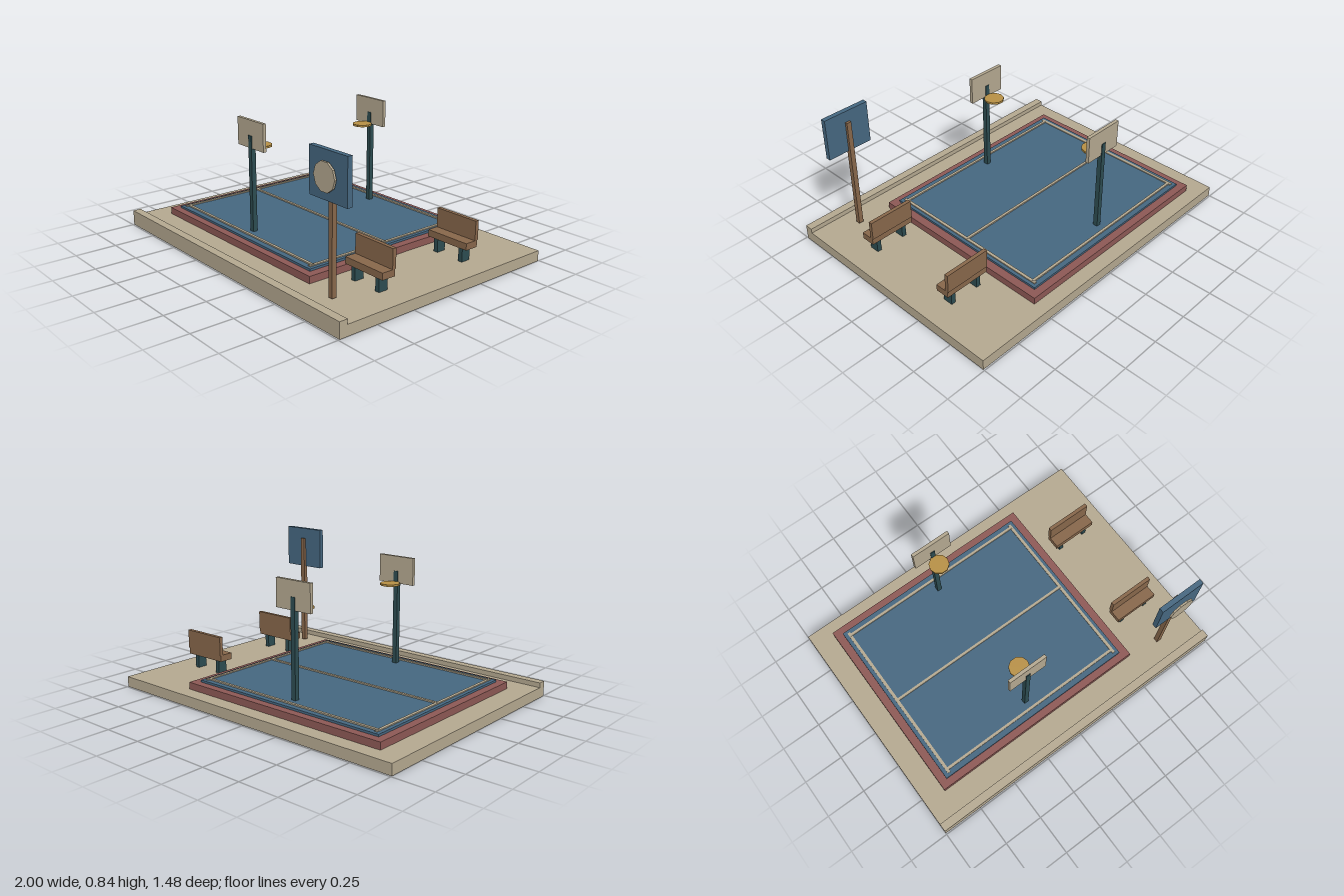
import * as THREE from 'three';

const material = (name, color) => {
  const m = new THREE.MeshStandardMaterial({ color });
  m.name = name;
  return m;
};

export function createModel() {
  const tan = material('tan concrete', 0xb3a78f);
  const red = material('brick red', 0x8c5854);
  const blue = material('court blue', 0x45667f);
  const teal = material('dark teal', 0x2c4b50);
  const brown = material('wood brown', 0x86664a);
  const gold = material('rim gold', 0xb68f45);

  const model = new THREE.Group();
  model.name = 'sportsCourt';

  const group = (name, z = 0) => {
    const g = new THREE.Group();
    g.name = name;
    g.position.z = z;
    model.add(g);
    return g;
  };

  // Box given by its extents along each axis
  const box = (parent, name, mat, [x0, x1], [y0, y1], [z0, z1]) => {
    const mesh = new THREE.Mesh(new THREE.BoxGeometry(x1 - x0, y1 - y0, z1 - z0), mat);
    mesh.name = name;
    mesh.position.set((x0 + x1) / 2, (y0 + y1) / 2, (z0 + z1) / 2);
    parent.add(mesh);
  };

  // Ten-sided disc with corners on the x axis
  const disc = (parent, name, mat, r, h, x, y, z, upright = false) => {
    const geo = new THREE.CylinderGeometry(r, r, h, 10).toNonIndexed();
    geo.computeVertexNormals();
    geo.rotateY(Math.PI / 2);
    if (upright) geo.rotateX(Math.PI / 2);
    const mesh = new THREE.Mesh(geo, mat);
    mesh.name = name;
    mesh.position.set(x, y, z);
    parent.add(mesh);
  };

  // Ground slab with a raised kerb along the front
  const ground = group('ground');
  box(ground, 'slab', tan, [-1, 1], [0, 0.064], [-0.742, 0.742]);
  box(ground, 'kerb', tan, [-1, 1], [0.064, 0.093], [0.692, 0.742]);

  // Stepped court
  const court = group('court');
  box(court, 'courtBorder', red, [-0.865, 0.532], [0.066, 0.108], [-0.656, 0.548]);
  box(court, 'courtSurface', blue, [-0.817, 0.482], [0.108, 0.121], [-0.61, 0.504]);
  for (const x of [-0.785, 0.452]) {
    box(court, 'sideLine', tan, [x - 0.009, x + 0.009], [0.12, 0.127], [-0.59, 0.485]);
  }
  for (const z of [-0.57, -0.056, 0.462]) {
    box(court, 'crossLine', tan, [-0.785, 0.452], [0.12, 0.129], [z - 0.008, z + 0.008]);
  }

  // Hoops, each facing the middle of the court
  for (const [z, dir] of [[0.402, -1], [-0.505, 1]]) {
    const hoop = group('hoop', z);
    box(hoop, 'hoopPole', teal, [-0.181, -0.152], [0.12, 0.695], [-0.0145, 0.0145]);
    box(hoop, 'backboard', tan, [-0.289, -0.043], [0.621, 0.785], [-0.01, 0.01]);
    disc(hoop, 'rim', gold, 0.06, 0.012, -0.167, 0.626, dir * 0.069);
  }

  // Benches beside the court
  for (const z of [0.31, -0.31]) {
    const bench = group('bench', z);
    box(bench, 'seat', brown, [0.589, 0.874], [0.147, 0.187], [-0.043, 0.043]);
    box(bench, 'backrest', brown, [0.589, 0.874], [0.187, 0.301], [-0.049, -0.026]);
    for (const x of [0.639, 0.823]) {
      box(bench, 'benchLeg', teal, [x - 0.014, x + 0.014], [0.062, 0.147], [-0.029, 0.031]);
    }
  }

  // Sign on a post with a round face in front
  const sign = group('sign');
  box(sign, 'signPost', brown, [0.726, 0.755], [0.072, 0.775], [0.553, 0.582]);
  box(sign, 'signBoard', blue, [0.599, 0.885], [0.586, 0.842], [0.569, 0.599]);
  disc(sign, 'signFace', tan, 0.08, 0.012, 0.741, 0.713, 0.618, true);

  return model;
}
